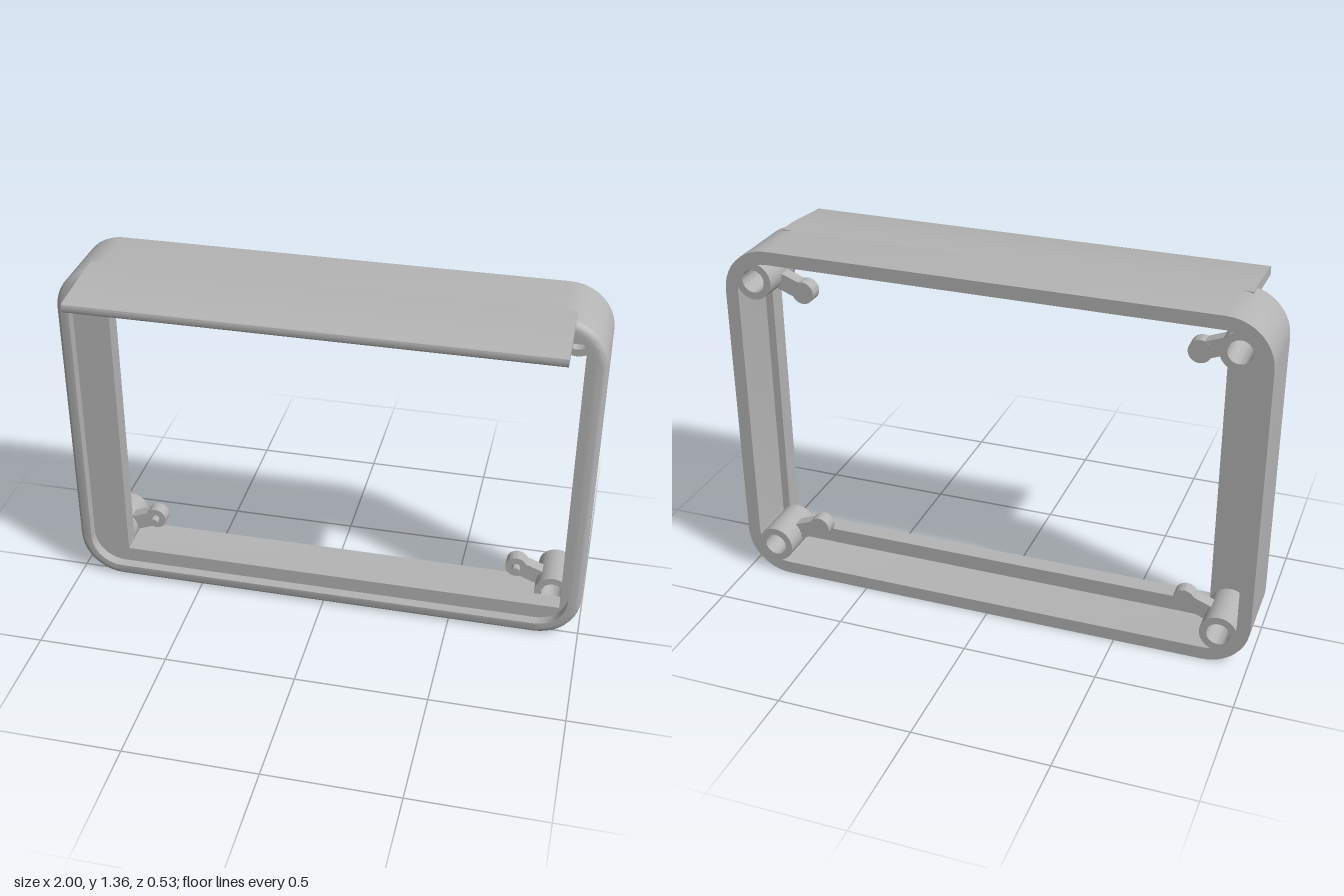
import * as THREE from 'three';
import { toCreasedNormals } from 'three/addons/utils/BufferGeometryUtils.js';

const W = 1, H = 1.355, R = 0.17, BACK = -0.265, FRONT = 0.04, WALL = 0.05;

// Points of a rounded rectangle, inset from the outer outline, counter-clockwise
function outline(inset, steps = 10) {
  const r = R - inset, pts = [];
  const centres = [[W - R, H - R], [R - W, H - R], [R - W, R], [W - R, R]];
  centres.forEach(([cx, cy], k) => {
    for (let i = 0; i <= steps; i++) {
      const a = (k + i / steps) * Math.PI / 2;
      pts.push(new THREE.Vector2(cx + r * Math.cos(a), cy + r * Math.sin(a)));
    }
  });
  return pts;
}

// Sweep a closed [inset, z] profile around the outline
function sweepProfile(profile) {
  const pos = [], idx = [];
  const n = outline(0).length, m = profile.length;
  for (const [inset, z] of profile) for (const p of outline(inset)) pos.push(p.x, p.y, z);
  for (let i = 0; i < m; i++) {
    for (let j = 0; j < n; j++) {
      const a = i * n + j, b = i * n + (j + 1) % n;
      const d = ((i + 1) % m) * n + j, c = ((i + 1) % m) * n + (j + 1) % n;
      idx.push(a, b, c, a, c, d);
    }
  }
  const g = new THREE.BufferGeometry();
  g.setAttribute('position', new THREE.Float32BufferAttribute(pos, 3));
  g.setIndex(idx);
  return toCreasedNormals(g, 0.6);
}

function extrude(shape, z0, z1) {
  const g = new THREE.ExtrudeGeometry(shape, { depth: z1 - z0, bevelEnabled: false, curveSegments: 20 });
  g.translate(0, 0, z0);
  return toCreasedNormals(g, 0.6);
}

export function createModel() {
  const model = new THREE.Group();
  const grey = new THREE.MeshStandardMaterial({ color: 0xb4b4b4 });
  grey.name = 'plain grey';
  const add = (name, geometry) => {
    const mesh = new THREE.Mesh(geometry, grey);
    mesh.name = name;
    model.add(mesh);
    return mesh;
  };

  // Outer wall with a rounded front edge
  const fillet = 0.03, profile = [[0, BACK]];
  for (let i = 0; i <= 5; i++) {
    const a = i / 5 * Math.PI / 2;
    profile.push([fillet * (1 - Math.cos(a)), FRONT - fillet * (1 - Math.sin(a))]);
  }
  profile.push([WALL, FRONT], [WALL, BACK]);
  add('outerFrame', sweepProfile(profile));

  // Recessed bezel with an off-centre window
  const bezel = new THREE.Shape(outline(WALL - 0.005));
  const window = new THREE.Path();
  window.moveTo(-0.81, 0.11).lineTo(-0.81, 1.25).lineTo(0.92, 1.25).lineTo(0.92, 0.11).closePath();
  bezel.holes.push(window);
  add('bezel', extrude(bezel, -0.07, 0));

  // Visor across the top, drooping toward its tip
  const visor = new THREE.Shape();
  visor.moveTo(-0.04, 1.355).lineTo(0.04, 1.355).lineTo(0.255, 1.335);
  visor.quadraticCurveTo(0.265, 1.334, 0.265, 1.325);
  visor.lineTo(0.265, 1.307).quadraticCurveTo(0.265, 1.3, 0.257, 1.3);
  visor.lineTo(0.04, 1.314).lineTo(-0.04, 1.314).closePath();
  const visorGeometry = extrude(visor, -0.875, 0.875);
  visorGeometry.rotateY(-Math.PI / 2);
  add('visor', visorGeometry);

  // Screw bosses and pinned clips in the four corners
  for (const sx of [-1, 1]) {
    for (const sy of [-1, 1]) {
      const y = (v) => H / 2 + sy * v;
      const bx = sx * 0.885, by = y(0.557), cx = sx * 0.735, cy = y(0.499);

      const ring = new THREE.Shape().absarc(bx, by, 0.07, 0, Math.PI * 2);
      ring.holes.push(new THREE.Path().absarc(bx, by, 0.043, 0, Math.PI * 2, true));
      add('screwBoss', extrude(ring, BACK, -0.07));

      // Clip arm ends short of the screw hole
      const dx = bx - cx, dy = by - cy, len = Math.hypot(dx, dy);
      const arm = new THREE.BoxGeometry(len - 0.05, 0.062, 0.05);
      arm.translate((len - 0.05) / 2, 0, 0);
      const armMesh = add('clipArm', arm);
      armMesh.position.set(cx, cy, -0.155);
      armMesh.rotation.z = Math.atan2(dy, dx);

      const disc = new THREE.Shape().absarc(cx, cy, 0.042, 0, Math.PI * 2);
      add('clipEnd', extrude(disc, -0.181, -0.129));
      const pin = new THREE.Shape().absarc(cx, cy, 0.016, 0, Math.PI * 2);
      add('clipPin', extrude(pin, -0.135, -0.1));
    }
  }
  return model;
}
